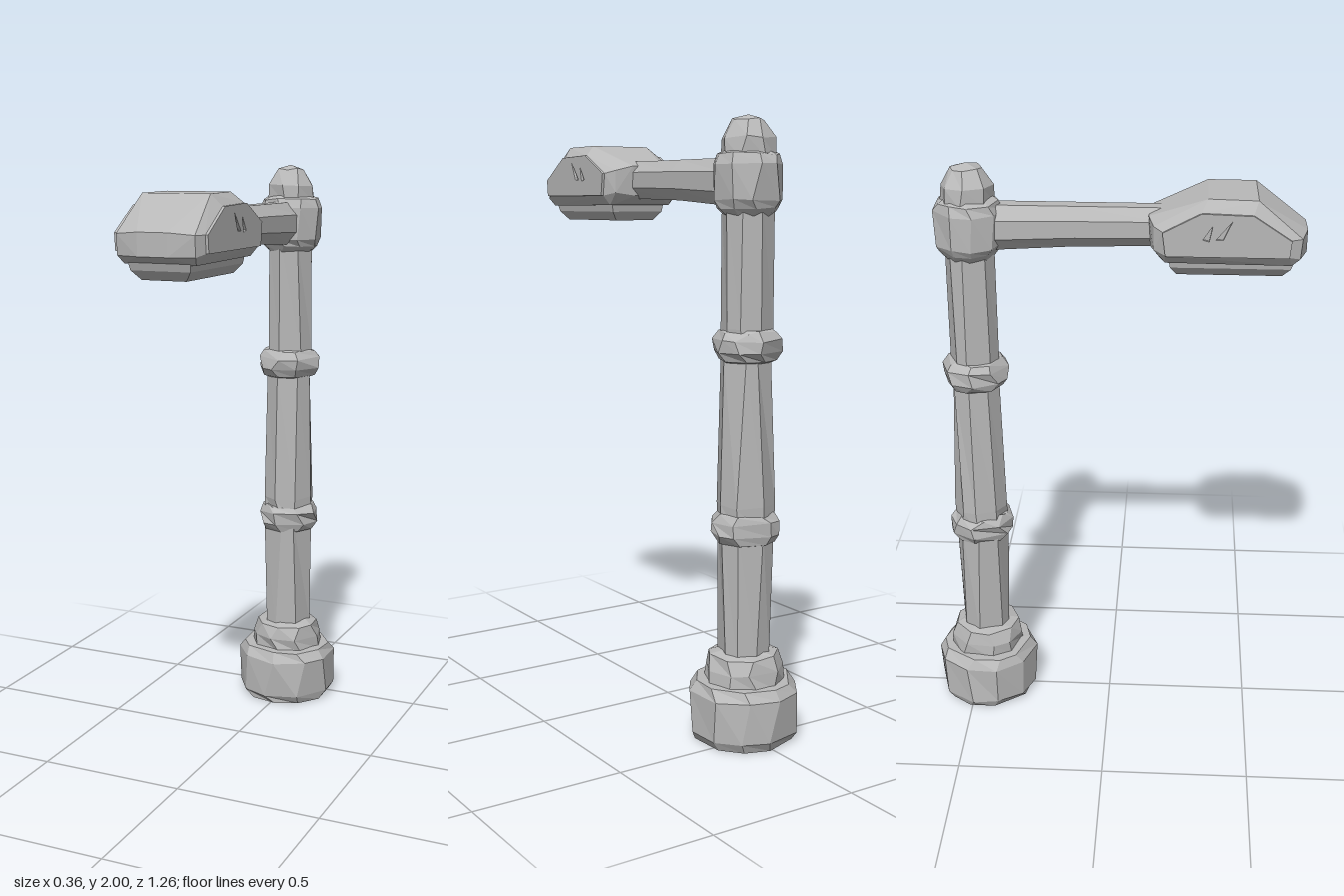
import * as THREE from 'three';
import { ConvexGeometry } from 'three/addons/geometries/ConvexGeometry.js';

const AXIS_Z = -0.455; // centre line of the post

// Repeatable value in -1..1 from a position, so seam vertices stay together
function noise(x, y, z, seed) {
  const k = [x, y, z].map((v) => Math.round(v * 1000) + 0);
  const s = Math.sin(k[0] * 12.99 + k[1] * 78.23 + k[2] * 37.72 + seed * 4.1) * 43758.5453;
  return (s - Math.floor(s)) * 2 - 1;
}

// Roughly hewn turned part: a few-sided lathe with slightly uneven corners
function hewn(profile, sides, rough, seed) {
  const geo = new THREE.LatheGeometry(profile.map(([r, y]) => new THREE.Vector2(r, y)), sides);
  const p = geo.attributes.position;
  for (let i = 0; i < p.count; i++) {
    const x = p.getX(i), y = p.getY(i), z = p.getZ(i);
    const r = Math.hypot(x, z);
    if (r < 0.001) continue;
    const a = Math.atan2(x, z) + noise(x, y, z, seed) * rough * 8;
    const r2 = r * (1 + noise(x, y, z, seed + 1) * rough);
    const dy = y > 0.001 ? noise(x, y, z, seed + 2) * rough * 0.2 : 0;
    p.setXYZ(i, Math.sin(a) * r2, y + dy, Math.cos(a) * r2);
  }
  geo.computeVertexNormals();
  return geo;
}

export function createModel() {
  const group = new THREE.Group();
  const stone = new THREE.MeshStandardMaterial({ color: 0xb8b8b8, flatShading: true });
  stone.name = 'grey';

  const add = (name, geo, x = 0, y = 0, z = 0) => {
    const mesh = new THREE.Mesh(geo, stone);
    mesh.name = name;
    mesh.position.set(x, y, z);
    group.add(mesh);
  };

  // Foot and stepped collar
  add('base', hewn([[0, 0], [0.165, 0], [0.181, 0.03], [0.181, 0.165], [0.16, 0.2], [0, 0.205]],
    10, 0.018, 1), 0, 0, AXIS_Z);
  add('baseCollar', hewn([[0.132, 0.19], [0.13, 0.24], [0.115, 0.285], [0.07, 0.298]],
    9, 0.02, 2), 0, 0, AXIS_Z);

  // Post with two knobbly rings
  add('post', hewn([[0.085, 0.28], [0.092, 0.7], [0.095, 0.78], [0.082, 1.24], [0.084, 1.34], [0.083, 1.74]],
    8, 0.025, 3), 0, 0, AXIS_Z);
  [0.705, 1.29].forEach((y, i) => {
    add('postRing', hewn([[0.075, -0.055], [0.095, -0.048], [0.113, -0.02], [0.113, 0.02], [0.095, 0.045], [0.075, 0.052]],
      8, 0.03, 5 + i), 0, y, AXIS_Z);
  });

  // Head of the post and rounded cap
  add('topCollar', hewn([[0.075, 1.69], [0.1, 1.715], [0.113, 1.74], [0.113, 1.85], [0.1, 1.88], [0.07, 1.895]],
    9, 0.02, 8), 0, 0, AXIS_Z);
  add('cap', hewn([[0.088, 1.87], [0.086, 1.93], [0.05, 1.985], [0, 2]], 8, 0.02, 9), 0, 0, AXIS_Z);

  // Eight-sided arm, deeper where it meets the post
  const arm = new THREE.CylinderGeometry(1, 1, 0.58, 8, 2, false, Math.PI / 8);
  arm.rotateX(Math.PI / 2);
  const ap = arm.attributes.position;
  for (let i = 0; i < ap.count; i++) {
    const t = Math.max(0, 0.1 - ap.getZ(i)) / 0.39;
    ap.setXY(i, ap.getX(i) * 0.065, 1.808 - 0.012 * t + ap.getY(i) * (0.068 + 0.013 * t));
  }
  arm.computeVertexNormals();
  add('arm', arm, 0, 0, -0.11);

  // Lamp housing: chamfered hull, mirrored in x
  const hull = (pts) => new ConvexGeometry(pts.flatMap(([x, y, z]) =>
    [new THREE.Vector3(x, y, z), new THREE.Vector3(-x, y, z)]));
  const side = [[0.17, 1.83], [0.29, 1.893], [0.45, 1.888], [0.57, 1.81], [0.565, 1.755], [0.18, 1.755]];
  add('lampHousing', hull([
    ...side.map(([z, y]) => [0.147, y, z]),
    [0.11, 1.927, 0.31], [0.115, 1.925, 0.465],
    [0.06, 1.855, 0.125], [0.12, 1.84, 0.142], [0.12, 1.765, 0.142], [0.05, 1.755, 0.13], [0.1, 1.73, 0.165],
    [0.13, 1.81, 0.605], [0.05, 1.817, 0.625], [0.05, 1.745, 0.625], [0.13, 1.745, 0.6],
    [0.12, 1.72, 0.575], [0.12, 1.723, 0.18],
  ]));

  // Side panels, each with a pair of carved nicks
  const panel = new THREE.Shape(side.map(([z, y]) => new THREE.Vector2(z, y)));
  [[[0.385, 1.87], [0.335, 1.81], [0.358, 1.81]], [[0.325, 1.855], [0.295, 1.81], [0.315, 1.805]]]
    .forEach((nick) => panel.holes.push(new THREE.Path(nick.map(([z, y]) => new THREE.Vector2(z, y)))));
  const panelGeo = new THREE.ExtrudeGeometry(panel, { depth: 0.009, bevelEnabled: false });
  panelGeo.rotateY(-Math.PI / 2);
  add('leftPanel', panelGeo, 0.156);
  add('rightPanel', panelGeo, -0.147);

  // Tapered light block under the housing
  add('lightBlock', hull([
    [0.105, 1.73, 0.19], [0.105, 1.73, 0.585], [0.1, 1.7, 0.195], [0.1, 1.7, 0.575],
    [0.075, 1.67, 0.215], [0.075, 1.67, 0.55],
  ]));

  return group;
}
